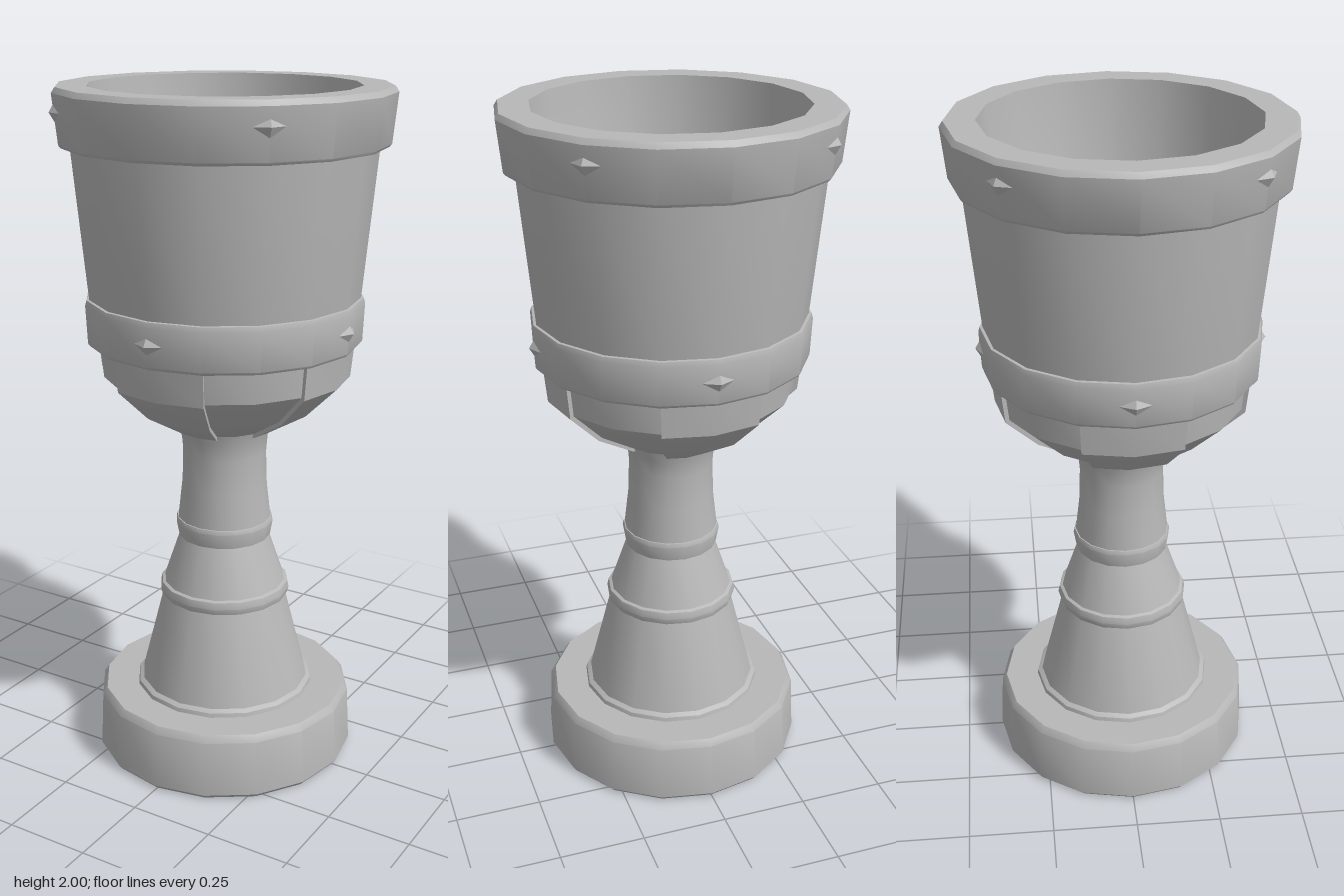
import * as THREE from 'three';
import { toCreasedNormals } from 'three/addons/utils/BufferGeometryUtils.js';

const SIDES = 16;
const grey = new THREE.MeshStandardMaterial({ color: 0xb8b8b8 });
grey.name = 'grey';

function part(name, geometry) {
  const mesh = new THREE.Mesh(geometry, grey);
  mesh.name = name;
  return mesh;
}

// Turned part from [radius, height] pairs, outer surface listed upwards
function turned(name, profile) {
  const points = profile.map(([r, y]) => new THREE.Vector2(r, y));
  return part(name, toCreasedNormals(new THREE.LatheGeometry(points, SIDES), 0.6));
}

// Raised petal: a 45 degree slice of the bowl, standing proud with closed edges
function petalGeometry(profile, thickness) {
  const half = Math.PI / 8;
  const columns = [[-half, 0], [-half, 1], [0, 1], [half, 1], [half, 0]];
  const positions = [];
  const index = [];
  for (const [r, y] of profile) {
    for (const [angle, out] of columns) {
      const radius = r + (out ? thickness : -0.01);
      positions.push(radius * Math.sin(angle), y - out * 0.006, radius * Math.cos(angle));
    }
  }
  const n = columns.length;
  for (let i = 0; i < profile.length - 1; i++) {
    for (let j = 0; j < n - 1; j++) {
      const a = i * n + j;
      index.push(a, a + 1, a + n, a + 1, a + n + 1, a + n);
    }
  }
  const geometry = new THREE.BufferGeometry();
  geometry.setAttribute('position', new THREE.Float32BufferAttribute(positions, 3));
  geometry.setIndex(index);
  geometry.computeVertexNormals();
  return toCreasedNormals(geometry, 0.6);
}

// Small four-sided stud pointing outwards
function stud(name, angle, radius, y) {
  const geometry = new THREE.ConeGeometry(0.048, 0.024, 4).toNonIndexed();
  geometry.computeVertexNormals();
  geometry.rotateX(Math.PI / 2);
  const mesh = part(name, geometry);
  mesh.scale.y = 0.85;
  mesh.position.set(radius * Math.sin(angle), y, radius * Math.cos(angle));
  mesh.rotation.y = angle;
  return mesh;
}

export function createModel() {
  const goblet = new THREE.Group();
  goblet.name = 'goblet';

  // Foot and stem
  goblet.add(turned('foot', [
    [0, 0], [0.382, 0], [0.392, 0.012], [0.384, 0.18], [0.37, 0.2], [0.2, 0.2],
  ]));
  goblet.add(turned('lowerStem', [
    [0.272, 0.195], [0.268, 0.212], [0.255, 0.22], [0.183, 0.505],
  ]));
  goblet.add(turned('lowerRing', [
    [0.18, 0.494], [0.192, 0.497], [0.197, 0.515], [0.192, 0.535], [0.178, 0.541],
  ]));
  goblet.add(turned('middleStem', [[0.186, 0.53], [0.132, 0.69]]));
  goblet.add(turned('upperRing', [
    [0.12, 0.68], [0.138, 0.685], [0.146, 0.73], [0.142, 0.742], [0.125, 0.745],
  ]));
  goblet.add(turned('upperStem', [
    [0.14, 0.735], [0.127, 0.85], [0.124, 0.95], [0.128, 1.0], [0.142, 1.04],
  ]));

  // Bowl with four raised petals
  const bowl = [[0.09, 1.015], [0.135, 1.03], [0.255, 1.1], [0.352, 1.195], [0.364, 1.31]];
  goblet.add(turned('bowl', bowl));
  for (let i = 0; i < 4; i++) {
    const petal = part('petal', petalGeometry(bowl, 0.012));
    petal.rotation.y = i * Math.PI / 2;
    goblet.add(petal);
  }

  // Cup wall, band and rim
  goblet.add(turned('cupWall', [[0.37, 1.3], [0.386, 1.4], [0.428, 1.85]]));
  goblet.add(turned('band', [
    [0.35, 1.288], [0.389, 1.288], [0.395, 1.296], [0.4, 1.405], [0.396, 1.42], [0.38, 1.422],
  ]));
  goblet.add(turned('rim', [
    [0.41, 1.84], [0.452, 1.84], [0.458, 1.848], [0.472, 1.985], [0.462, 2], [0.378, 2],
  ]));
  goblet.add(turned('cupInside', [
    [0.378, 2], [0.3, 1.26], [0.27, 1.19], [0.2, 1.125], [0.1, 1.085], [0, 1.075],
  ]));

  // Studs on the rim and, turned by an eighth, on the band
  for (let i = 0; i < 4; i++) {
    const angle = i * Math.PI / 2;
    goblet.add(stud('rimStud', angle + Math.PI / 4, 0.468, 1.935));
    goblet.add(stud('bandStud', angle, 0.399, 1.355));
  }
  return goblet;
}
